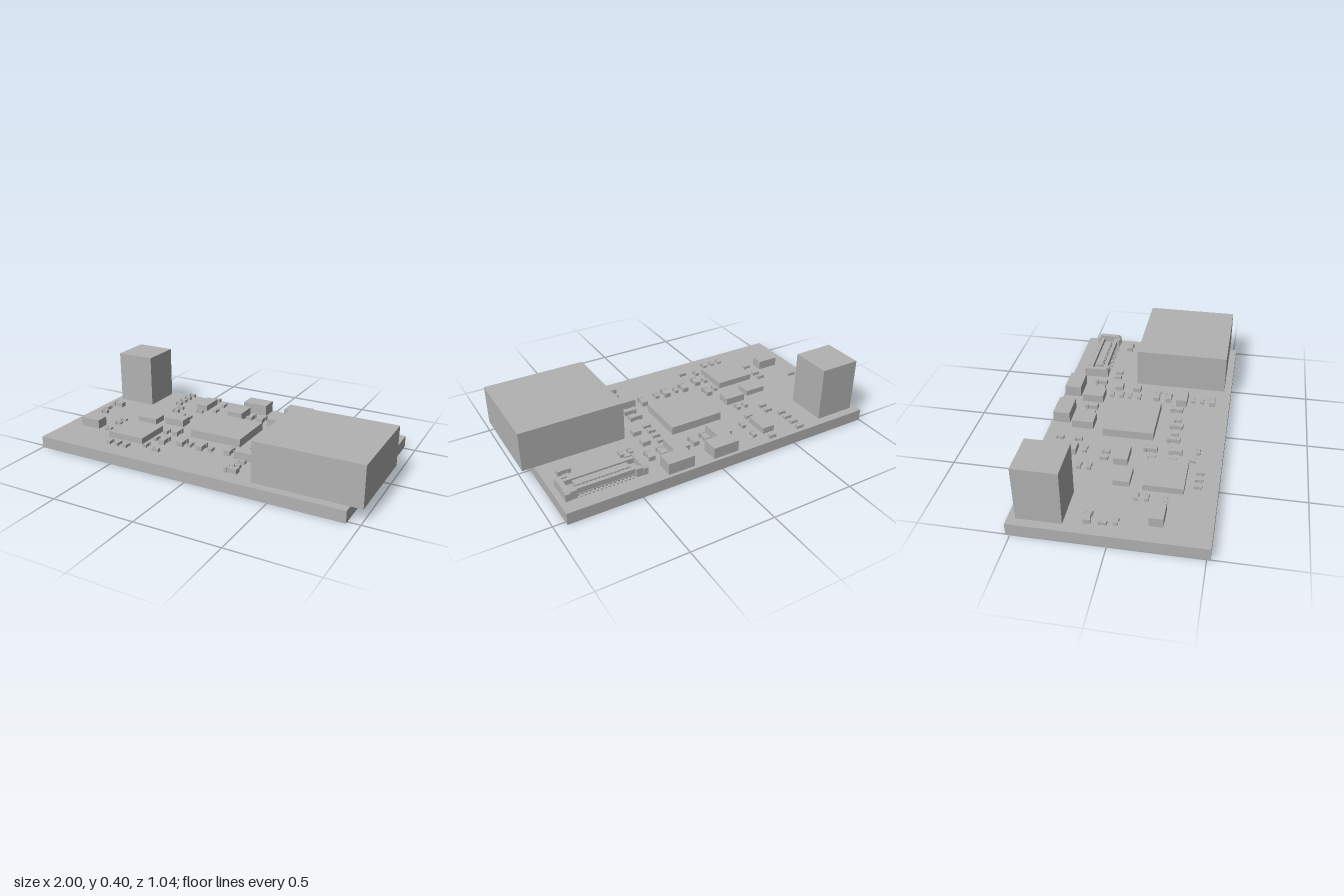
import * as THREE from 'three';

const BOARD_TOP = 0.07, SEAT = 0.075;

export function createModel() {
  const root = new THREE.Group();
  root.name = 'circuitBoard';
  const grey = new THREE.MeshStandardMaterial({ color: 0xb2b2b2 });
  grey.name = 'plain grey';

  // Box given by its limits on each axis
  function box(parent, name, x0, x1, y0, y1, z0, z1) {
    const mesh = new THREE.Mesh(new THREE.BoxGeometry(x1 - x0, y1 - y0, z1 - z0), grey);
    mesh.position.set((x0 + x1) / 2, (y0 + y1) / 2, (z0 + z1) / 2);
    mesh.name = name;
    parent.add(mesh);
    return mesh;
  }

  function group(name) {
    const g = new THREE.Group();
    g.name = name;
    root.add(g);
    return g;
  }

  box(root, 'board', -1, 0.93, 0, BOARD_TOP, -0.525, 0.52);

  // Large blocks; the wide one overhangs the board's edge
  box(root, 'wideSocket', 0.385, 1, SEAT, 0.313, -0.085, 0.477);
  box(root, 'tallSocket', -0.955, -0.71, SEAT, 0.399, -0.48, -0.235);

  // Integrated circuits, inductors and other plain packages: x0, x1, z0, z1, top
  const packages = {
    mainChip: [-0.2, 0.13, -0.19, 0.11, 0.124],
    secondChip: [-0.635, -0.395, 0.118, 0.34, 0.112],
    inductorLeft: [-0.11, 0.05, -0.51, -0.41, 0.143],
    inductorRight: [0.175, 0.335, -0.51, -0.41, 0.143],
    powerBlockLeft: [-0.15, -0.05, -0.387, -0.258, 0.124],
    powerBlockRight: [0.13, 0.232, -0.387, -0.258, 0.124],
    backChip: [-0.403, -0.328, -0.445, -0.302, 0.112],
    regulator: [-0.622, -0.493, -0.045, 0.047, 0.108],
    crystal: [-0.45, -0.322, -0.077, 0.004, 0.118],
    sideDiode: [-0.895, -0.765, 0.195, 0.27, 0.13],
    frontDiode: [0.168, 0.293, 0.195, 0.26, 0.122],
  };
  for (const [name, [x0, x1, z0, z1, top]] of Object.entries(packages)) {
    box(root, name, x0, x1, SEAT, top, z0, z1);
  }

  // Two-terminal part: end caps with a slightly slimmer body between
  const passives = group('passives');
  function passive(x, z, alongX, large) {
    const g = new THREE.Group();
    g.name = large ? 'capacitor' : 'resistor';
    const L = large ? 0.077 : 0.045, W = large ? 0.038 : 0.024;
    const h = large ? 0.028 : 0.02, cap = L * 0.24, slim = W * 0.38;
    for (const s of [-1, 1]) {
      const a = s * L / 2, b = s * (L / 2 - cap);
      box(g, 'terminal', Math.min(a, b), Math.max(a, b), 0, h, -W / 2, W / 2);
    }
    box(g, 'body', -L / 2 + cap, L / 2 - cap, 0.001, h - 0.002, -slim, slim);
    g.position.set(x, SEAT, z);
    if (!alongX) g.rotation.y = Math.PI / 2;
    passives.add(g);
  }

  // Rows of small parts: shared x, list of z
  const smallAcross = [
    [-0.553, [-0.495, -0.436, -0.377, -0.321]],
    [-0.355, [-0.495, -0.257]],
    [-0.5, [-0.257, -0.2]],
    [0.222, [-0.217, -0.158, -0.104, -0.045]],
    [-0.7, [0.099, 0.155, 0.254]],
    [0.238, [0.294, 0.35]],
    [-0.9, [0.032]],
    [-0.273, [0.38]],
  ];
  const smallAlong = [
    [-0.267, [-0.428, -0.318]],
    [0.422, [-0.222]], [0.479, [-0.222]],
    [-0.412, [-0.136]],
    [-0.358, [-0.136, 0.126, 0.243, 0.35]],
    [-0.92, [-0.035]],
    [-0.131, [0.227]], [0.008, [0.227]],
    [-0.572, [0.409]], [-0.516, [0.409]], [-0.457, [0.409]],
  ];
  const largeAcross = [
    [0.815, [-0.208]],
    [-0.895, [-0.115]],
    [0.238, [0.067, 0.142, 0.414]],
  ];
  const largeAlong = [
    [-0.008, [-0.315]], [0.067, [-0.315]], [0.275, [-0.315]], [0.35, [-0.315]],
    [-0.294, [0.11, 0.254]],
    [-0.187, [0.227]], [-0.056, [0.227]], [0.115, [0.206]],
  ];
  const lay = (rows, alongX, large) =>
    rows.forEach(([x, zs]) => zs.forEach((z) => passive(x, z, alongX, large)));
  lay(smallAcross, true, false);
  lay(smallAlong, false, false);
  lay(largeAcross, true, true);
  lay(largeAlong, false, true);

  // Square parts beside the main chip
  for (const z of [-0.187, -0.072]) {
    box(passives, 'squarePart', 0.283, 0.333, SEAT, 0.102, z - 0.024, z + 0.024);
  }

  // Mezzanine connector
  const connector = group('connector');
  const cx = 0.662, cz = -0.367;
  connector.position.set(cx, SEAT, cz);
  box(connector, 'floor', -0.21, 0.21, 0, 0.012, -0.06, 0.06);
  box(connector, 'tongue', -0.158, 0.158, 0.012, 0.042, -0.022, 0.022);

  // End shells: chamfered rings open in the middle
  const arch = new THREE.Shape();
  const w = 0.077, h = 0.056, c = 0.014;
  [[-w, 0], [w, 0], [w, h - c], [w - c, h], [-w + c, h], [-w, h - c]]
    .forEach(([x, y], i) => (i ? arch.lineTo(x, y) : arch.moveTo(x, y)));
  const shellGeo = new THREE.ExtrudeGeometry(arch, { depth: 0.03, bevelEnabled: false });
  shellGeo.translate(0, 0, -0.015).rotateY(Math.PI / 2);
  for (const s of [-1, 1]) {
    const shell = new THREE.Mesh(shellGeo, grey);
    shell.position.x = s * 0.222;
    shell.name = 'endShell';
    connector.add(shell);
    // Side walls, with shell arms that grip their ends
    box(connector, 'sideWall', -0.21, 0.21, 0, 0.043, s * 0.046 - 0.011, s * 0.046 + 0.011);
    for (const e of [-1, 1]) {
      box(connector, 'shellArm', e * 0.19 - 0.02, e * 0.19 + 0.02, 0, 0.05, s * 0.066 - 0.009, s * 0.066 + 0.009);
    }
    // Contacts along each long side and on the tongue
    for (let i = 0; i < 14; i++) {
      const x = -0.1495 + i * 0.023;
      box(connector, 'solderPin', x - 0.005, x + 0.005, 0, 0.008, s * 0.066 - 0.012, s * 0.066 + 0.012);
      box(connector, 'contact', x - 0.005, x + 0.005, 0.012, 0.038, s * 0.025 - 0.003, s * 0.025 + 0.003);
    }
  }
  return root;
}
